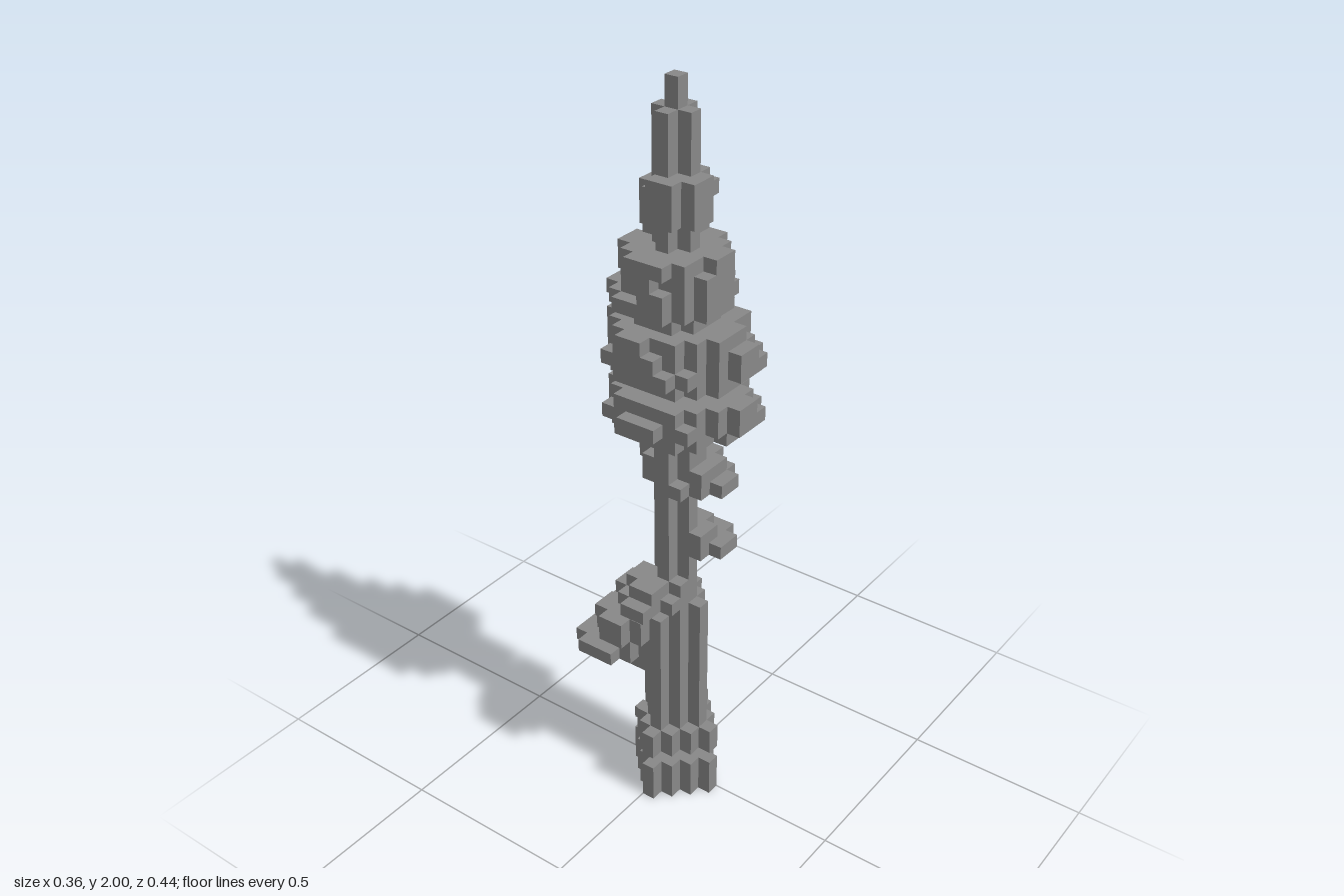
import * as THREE from 'three';

const U = 2 / 55; // one block
const grey = new THREE.MeshStandardMaterial({ color: 0x888888 });
grey.name = 'grey';

// One slab of blocks: rows[i] = [first x, last x] at z = z0 + i, extruded upward
function slab(y, height, z0, rows) {
  const pts = [];
  rows.forEach(([, b], i) => {
    pts.push([b + 1, z0 + i], [b + 1, z0 + i + 1]);
  });
  for (let i = rows.length - 1; i >= 0; i--) {
    pts.push([rows[i][0], z0 + i + 1], [rows[i][0], z0 + i]);
  }
  // drop points that repeat or lie on a straight vertical side
  const keep = pts.filter((p, i) => {
    const a = pts[(i + pts.length - 1) % pts.length];
    const b = pts[(i + 1) % pts.length];
    return !(p[0] === a[0] && p[0] === b[0]);
  });
  const shape = new THREE.Shape(keep.map(([x, z]) => new THREE.Vector2(x * U, -z * U)));
  const geo = new THREE.ExtrudeGeometry(shape, { depth: height * U, bevelEnabled: false });
  geo.rotateX(-Math.PI / 2);
  geo.translate(0, y * U, 0);
  return new THREE.Mesh(geo, grey);
}

// Stepped round cross-section about the trunk axis
function round(r) {
  const rows = [];
  for (let z = -r; z <= r; z++) rows.push([-1 - r + Math.abs(z), -1 + r - Math.abs(z)]);
  return rows;
}

// Each part is a list of [bottom, height, first z, rows]
const parts = {
  base: [[0, 3, -3, round(3)]],
  trunkFoot: [
    [4, 1, -3, round(3)],
    [5, 1, -2, round(3).slice(1)],
  ],
  lowerTrunk: [
    [6, 10, -2, round(2)],
    [16, 1, -2, [[-1, -1], [-2, 0], [-2, 1], [-2, 0], [-1, -1]]],
  ],
  upperTrunk: [[17, 36, -1, round(1)]],
  topTwig: [[53, 2, 0, round(0)]],
  lowBackTuft: [
    [11, 1, -3, [[-3, -1], [-3, -1], [-3, -1]]],
    [12, 1, -6, [[-4, -2], [-5, -1], [-5, -1], [-5, -1], [-4, -1], [-3, -1]]],
    [13, 1, -4, [[-3, -2], [-4, -1], [-4, -1], [-3, -1]]],
    [14, 1, -5, [[-3, -2], [-4, -1], [-5, -1], [-5, -1], [-4, -1]]],
    [15, 1, -4, [[-4, -2], [-5, -1], [-5, -1], [-4, -1]]],
  ],
  rightTuft: [
    [17, 1, -3, [[-3, -2], [-4, -1], [-5, 0], [-5, 0], [-3, -1]]],
    [18, 1, -2, [[-3, -2], [-4, -1], [-4, 0], [-2, -1]]],
  ],
  middleFrontTuft: [
    [21, 1, -1, [[-1, 0], [-2, 2], [-1, 2], [-1, 2], [0, 1]]],
    [22, 1, -1, [[-1, -1], [-2, 1], [-1, 1], [-1, 0]]],
  ],
  upperLeftTuft: [
    [26, 1, -2, [[-1, 1], [-1, 2], [-2, 2], [-2, 2], [-1, 2], [0, 1]]],
    [27, 1, -3, [[0, 1], [-1, 1], [-1, 2], [-2, 2], [-1, 2], [-1, 1]]],
    [28, 1, -1, [[-1, 0], [-2, 1], [-1, 0]]],
  ],
  crownSkirt: [
    [31, 1, -4, [[-2, -1], [-3, 0], [-4, 2], [-4, 3], [-4, 3], [-4, 3], [-4, 2], [-3, 2], [-1, 1]]],
    [32, 1, -4, [[-2, 0], [-4, 1], [-4, 3], [-5, 3], [-5, 4], [-5, 4], [-4, 3], [-4, 2], [-2, 2], [-1, 1]]],
    [33, 1, -4, [[-2, -1], [-3, 1], [-4, 2], [-4, 3], [-4, 4], [-4, 4], [-4, 3], [-3, 2], [-2, 1], [-1, 0]]],
  ],
  crownMiddle: [
    [35, 1, -4, [[-2, 0], [-3, 1], [-4, 3], [-4, 3], [-4, 4], [-4, 4], [-4, 3], [-3, 2], [-2, 2]]],
    [36, 1, -4, [[-2, 0], [-4, 1], [-4, 2], [-5, 3], [-5, 4], [-5, 4], [-5, 3], [-4, 2], [-2, 2], [-1, 1]]],
    [37, 1, -4, [[-2, -1], [-3, 1], [-4, 2], [-5, 3], [-5, 4], [-5, 3], [-4, 3], [-3, 2], [-2, 1], [-1, 0]]],
    [38, 1, -4, [[-2, -1], [-3, 0], [-4, 2], [-5, 2], [-5, 3], [-4, 3], [-4, 2], [-3, 2], [-2, 0]]],
  ],
  crownNeck: [[39, 1, -2, [[-2, 0], [-3, 1], [-3, 1], [-3, 1], [-2, 0]]]],
  crownUpper: [
    [40, 1, -4, [[-2, -1], [-3, 0], [-4, 1], [-4, 2], [-4, 3], [-4, 3], [-3, 2], [-2, 0]]],
    [41, 1, -2, [[-3, 0], [-3, 1], [-4, 2], [-4, 2], [-3, 1], [-2, 0]]],
    [42, 1, -3, [[-2, -1], [-3, 0], [-4, 1], [-4, 1], [-3, 1], [-3, 1], [-2, 0]]],
    [43, 1, -3, [[-2, -1], [-3, 0], [-4, 1], [-4, 2], [-4, 2], [-3, 1], [-1, 0]]],
  ],
  crownTop: [
    [45, 1, -2, [[-1, 0], [-2, 1], [-2, 1], [-1, 0]]],
    [46, 1, -2, [[-1, 0], [-2, 1], [-3, 1], [-3, 0], [-2, -1]]],
    [47, 1, -2, [[-1, 0], [-2, 0], [-3, 1], [-3, 1], [-2, -1]]],
    [48, 1, -1, [[-1, -1], [-3, 0], [-3, 0], [-2, -1]]],
  ],
};

export function createModel() {
  const model = new THREE.Group();
  model.name = 'blockTree';
  for (const [name, slabs] of Object.entries(parts)) {
    const part = new THREE.Group();
    part.name = name;
    slabs.forEach((s, i) => {
      const mesh = slab(...s);
      mesh.name = `${name}Layer${i + 1}`;
      part.add(mesh);
    });
    model.add(part);
  }
  return model;
}
